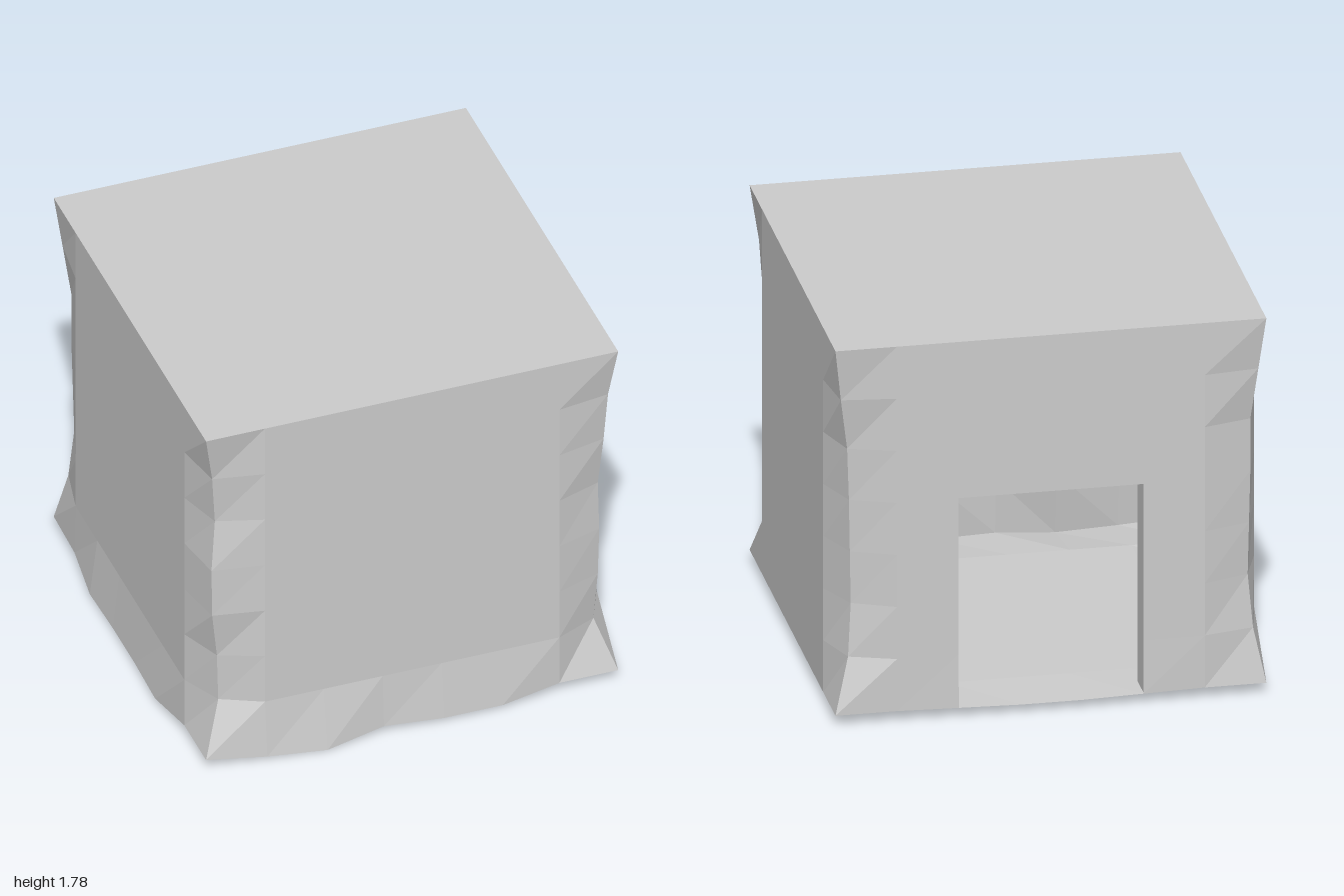
import * as THREE from 'three';

const N = 7;                       // cells along every side
const W = 1.93, H = 1.735;         // box size
const CX = 0.015, CY = 0.05 + H / 2, CZ = -0.0175;
const DEPTH = 0.13;                // depth of the doorway reveal

// Inward push of each vertical edge, row by row from bottom to top
const edgeInset = {
  leftFront: [0, 0.085, 0.07, 0.065, 0.07, 0.05, 0.035, 0],
  rightFront: [0, 0.09, 0.08, 0.045, 0.04, 0.065, 0.045, 0],
  leftBack: [0, 0.07, 0.085, 0.08, 0.075, 0.065, 0.03, 0],
  rightBack: [0, 0.05, 0.07, 0.065, 0.06, 0.06, 0.03, 0],
};
// Outward and downward push of the bottom edges
const frontFlare = [0, 0.03, 0.05, 0.015, 0.03, 0.03, 0, 0];   // along x
const backFlare = [0, 0, 0.005, 0.01, 0.01, 0.005, 0, 0];      // along x
const rightFlare = [0, 0.005, 0.035, 0.03, 0.03, 0.035, 0, 0]; // along z

export function createModel() {
  const model = new THREE.Group();
  const material = new THREE.MeshStandardMaterial({
    color: 0xcccccc, flatShading: true, side: THREE.DoubleSide,
  });

  const geometry = new THREE.BoxGeometry(W, H, W, N, N, N);
  const pos = geometry.attributes.position;
  const cell = (v, size) => Math.round((v / size + 0.5) * N);
  const grid = [];
  for (let n = 0; n < pos.count; n++) {
    grid.push([cell(pos.getX(n), W), cell(pos.getY(n), H), cell(pos.getZ(n), W)]);
  }

  // Cut the doorway (three cells wide, four high) out of the back wall
  const source = geometry.index.array, kept = [];
  for (let t = 0; t < source.length; t += 3) {
    const tri = [source[t], source[t + 1], source[t + 2]];
    const inDoor = tri.every((n) => {
      const [i, j, k] = grid[n];
      return k === 0 && i >= 2 && i <= 5 && j <= 4;
    });
    const onBack = geometry.attributes.normal.getZ(tri[0]) < -0.5;
    if (!(inDoor && onBack)) kept.push(...tri);
  }
  geometry.setIndex(kept);

  // Wear in the vertical edges and flare the bottom edges
  grid.forEach(([i, j, k], n) => {
    let x = pos.getX(n), y = pos.getY(n), z = pos.getZ(n);
    if (i % N === 0 && k % N === 0) {
      const inset = edgeInset[(i ? 'left' : 'right') + (k ? 'Front' : 'Back')][j];
      x -= Math.sign(x) * inset;
      z -= Math.sign(z) * inset;
    } else if (j === 0) {
      let flare = 0;
      if (k === N) { flare = frontFlare[i]; z += flare; }
      else if (k === 0) { flare = backFlare[i]; z -= flare; }
      else if (i === 0) { flare = rightFlare[k]; x -= flare; }
      y -= flare;
    }
    pos.setXYZ(n, x + CX, y + CY, z + CZ);
  });
  geometry.computeVertexNormals();
  const shell = new THREE.Mesh(geometry, material);
  shell.name = 'roomShell';
  model.add(shell);

  // Doorway reveal: two jambs and a lintel
  const doorway = new THREE.Group();
  doorway.name = 'doorway';
  const doorW = W * 3 / N, doorH = H * 4 / N;
  const zMid = CZ - W / 2 + DEPTH / 2;
  for (const side of [-1, 1]) {
    const jamb = new THREE.Mesh(new THREE.PlaneGeometry(DEPTH, doorH), material);
    jamb.rotation.y = -side * Math.PI / 2;
    jamb.position.set(CX + side * doorW / 2, 0.05 + doorH / 2, zMid);
    jamb.name = side > 0 ? 'leftJamb' : 'rightJamb';
    doorway.add(jamb);
  }
  const lintel = new THREE.Mesh(new THREE.PlaneGeometry(doorW, DEPTH), material);
  lintel.rotation.x = Math.PI / 2;
  lintel.position.set(CX, 0.05 + doorH, zMid);
  lintel.name = 'lintel';
  doorway.add(lintel);
  model.add(doorway);

  return model;
}
